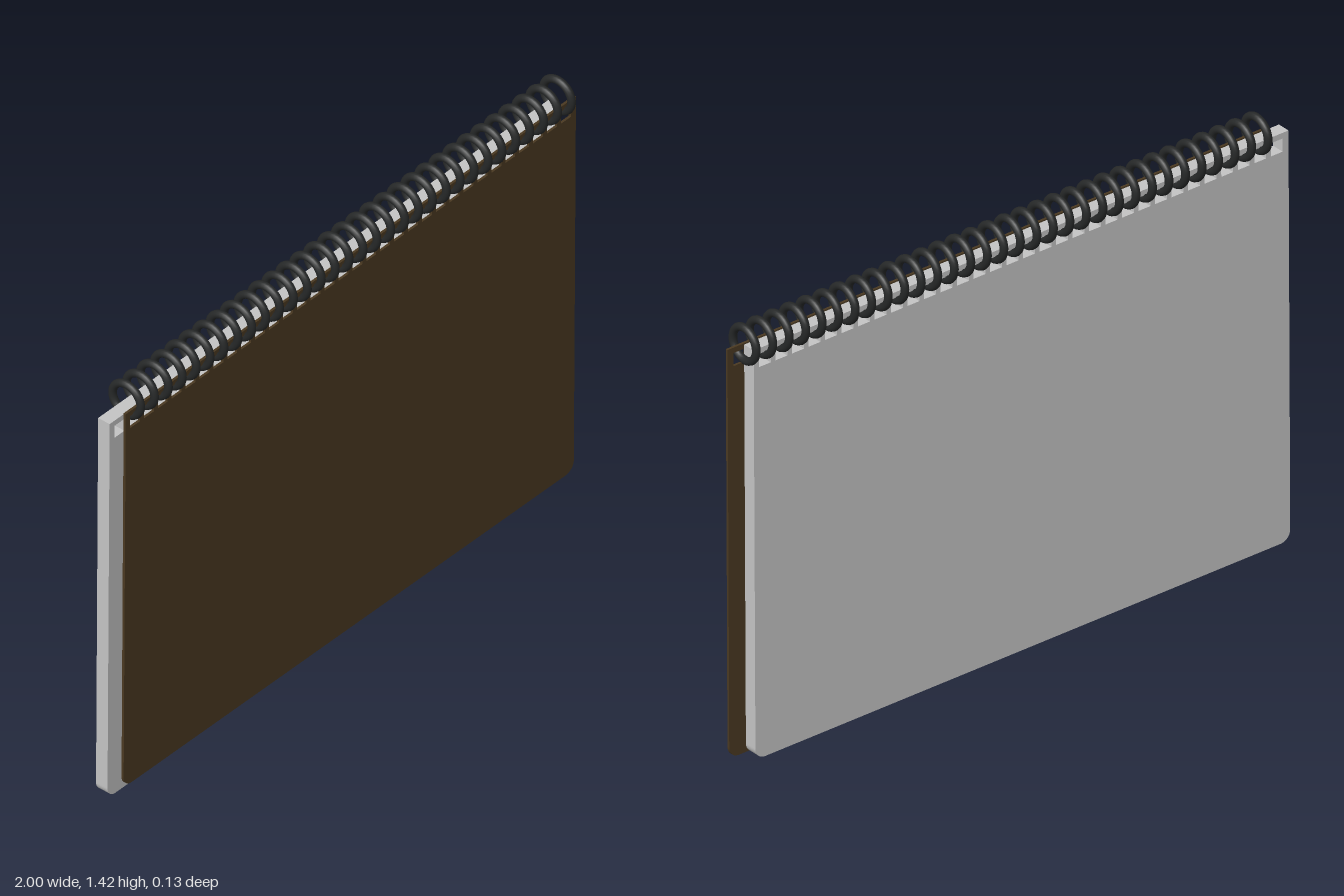
import * as THREE from 'three';

const RINGS = 32, PITCH = 0.0599, FIRST_X = -0.9;

// Sheet with rounded lower corners and a row of square punched holes
function punchedSheet(x0, x1, y0, y1, depth, firstHole, holeY, material) {
  const r = 0.035, h = 0.0215;
  const shape = new THREE.Shape();
  shape.moveTo(x0 + r, y0);
  shape.lineTo(x1 - r, y0);
  shape.absarc(x1 - r, y0 + r, r, -Math.PI / 2, 0, false);
  shape.lineTo(x1, y1);
  shape.lineTo(x0, y1);
  shape.lineTo(x0, y0 + r);
  shape.absarc(x0 + r, y0 + r, r, Math.PI, Math.PI * 1.5, false);
  for (let i = 0; i < RINGS; i++) {
    const x = firstHole + i * PITCH;
    const hole = new THREE.Path();
    hole.moveTo(x - h, holeY - h);
    hole.lineTo(x - h, holeY + h);
    hole.lineTo(x + h, holeY + h);
    hole.lineTo(x + h, holeY - h);
    hole.closePath();
    shape.holes.push(hole);
  }
  const geometry = new THREE.ExtrudeGeometry(shape, { depth, bevelEnabled: false, curveSegments: 6 });
  return new THREE.Mesh(geometry, material);
}

export function createModel() {
  const paper = new THREE.MeshStandardMaterial({ color: 0xc4c4c4 });
  paper.name = 'paper grey';
  const card = new THREE.MeshStandardMaterial({ color: 0x4a3921 });
  card.name = 'cover brown';
  const wire = new THREE.MeshStandardMaterial({ color: 0x262828 });
  wire.name = 'ring black';

  const model = new THREE.Group();
  model.name = 'spiralNotebook';

  // Page block and front cover lean slightly forward at the top
  const book = new THREE.Group();
  book.name = 'book';
  book.rotation.x = 0.006;
  const pages = punchedSheet(-1, 0.94, 0, 1.34, 0.043, FIRST_X - 0.057, 1.3, paper);
  pages.name = 'pages';
  pages.position.z = -0.028;
  const cover = punchedSheet(-0.94, 1, 0.007, 1.344, 0.008, FIRST_X, 1.305, card);
  cover.name = 'frontCover';
  cover.position.z = 0.0152;
  book.add(pages, cover);

  // Binding rings along the top edge
  const binding = new THREE.Group();
  binding.name = 'binding';
  const ringGeometry = new THREE.TorusGeometry(0.0525, 0.0125, 12, 32);
  ringGeometry.rotateY(Math.PI / 2);
  for (let i = 0; i < RINGS; i++) {
    const ring = new THREE.Mesh(ringGeometry, wire);
    ring.name = 'bindingRing' + (i + 1);
    ring.position.set(FIRST_X + i * PITCH, 1.359, 0);
    binding.add(ring);
  }

  model.add(book, binding);
  return model;
}
